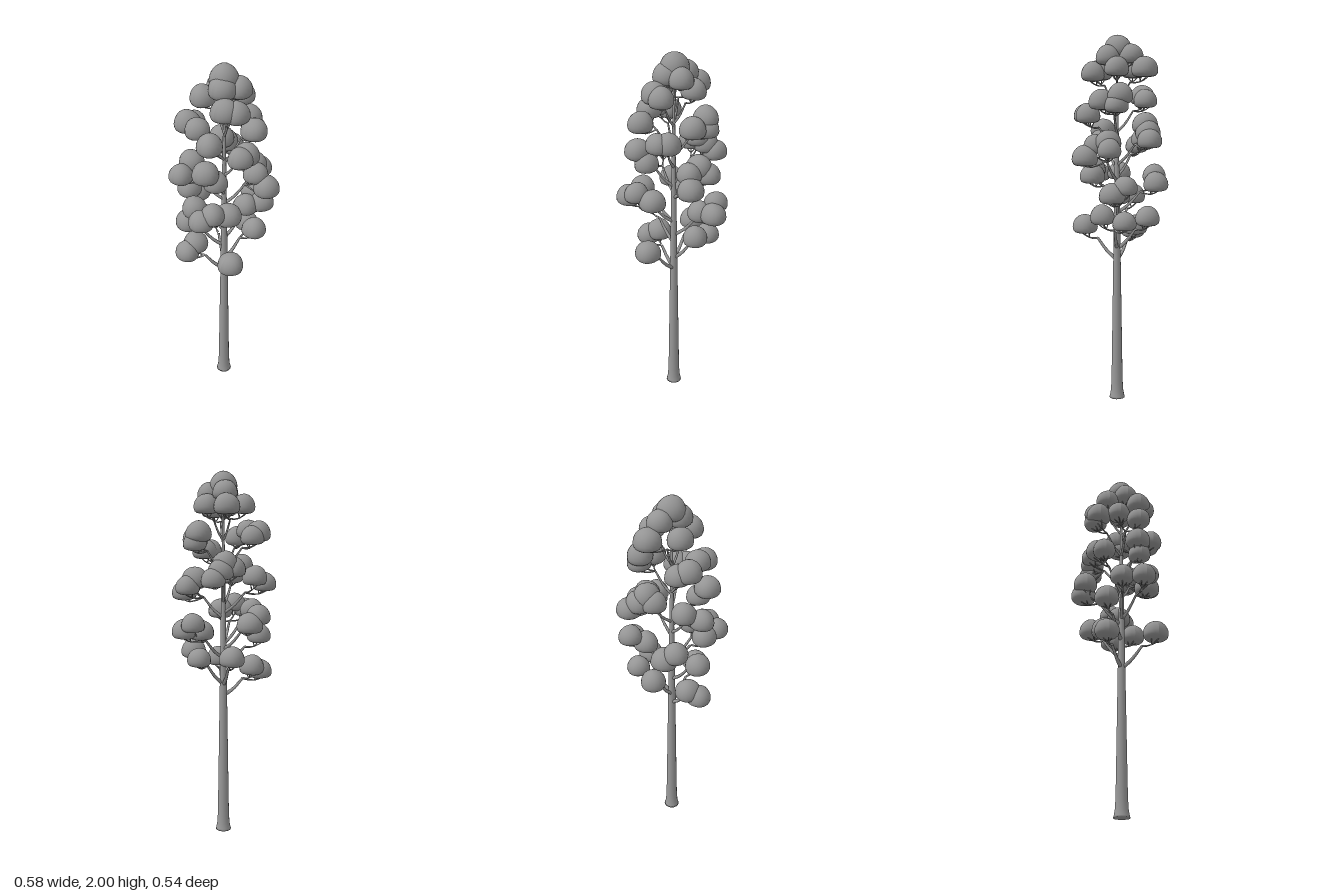
import * as THREE from 'three';
import { mergeGeometries } from 'three/addons/utils/BufferGeometryUtils.js';

const bark = new THREE.MeshStandardMaterial({ color: 0x999999 });
bark.name = 'bark grey';
const leaf = new THREE.MeshStandardMaterial({ color: 0x959595 });
leaf.name = 'foliage grey';

const AXIS = new THREE.Vector3(-0.003, 0, 0.015);
const HEIGHT = 1.9;

// One row per limb, lowest first: the centres of the leaf clumps it carries
const LIMBS = [
  [[-0.17, 0.94, -0.1], [-0.11, 0.97, -0.1]],
  [[-0.11, 0.98, 0.18]],
  [[0.18, 1.03, 0], [0.13, 1.06, 0.11]],
  [[0.07, 1.04, -0.14]],
  [[-0.16, 1.14, -0.1]],
  [[0.22, 1.22, 0], [0.22, 1.18, 0.07], [0.14, 1.17, 0.03]],
  [[0, 1.22, -0.2], [-0.06, 1.26, -0.2]],
  [[-0.23, 1.26, 0.09], [-0.18, 1.29, 0.12], [-0.09, 1.26, 0.14]],
  [[-0.18, 1.27, -0.02]],
  [[0.12, 1.37, 0.2], [0.1, 1.43, 0.14], [0.19, 1.41, 0.08], [0.14, 1.45, 0.08]],
  [[-0.18, 1.42, -0.12], [-0.09, 1.46, -0.14]],
  [[0.14, 1.5, -0.13], [0.1, 1.54, -0.12], [0.19, 1.46, -0.13], [0.06, 1.51, -0.14]],
  [[-0.18, 1.51, 0.07], [-0.13, 1.45, 0.09]],
  [[-0.05, 1.59, 0.18], [0, 1.59, 0.17]],
  [[0.16, 1.69, 0.02], [0.11, 1.66, 0.11], [0.17, 1.64, 0.04]],
  [[-0.16, 1.66, 0.08], [-0.14, 1.7, -0.03]],
  [[-0.06, 1.67, -0.15], [-0.11, 1.69, -0.14]],
  [[-0.08, 1.82, 0.1], [-0.04, 1.81, 0.14]],
  [[0.1, 1.83, 0.03]],
  [[-0.06, 1.83, -0.08], [0.09, 1.83, -0.12]],
  [[0, 1.94, 0.01], [0.045, 1.9, -0.055], [0.045, 1.89, 0.07], [-0.035, 1.9, 0.035]],
];

// Tube along a curve, thinning from r0 to r1
function taperedTube(points, r0, r1, segments, sides) {
  const curve = new THREE.CatmullRomCurve3(points);
  const geo = new THREE.TubeGeometry(curve, segments, 1, sides, false);
  const pos = geo.attributes.position;
  const v = new THREE.Vector3();
  for (let i = 0; i < pos.count; i++) {
    const t = Math.floor(i / (sides + 1)) / segments;
    const c = curve.getPointAt(t);
    v.fromBufferAttribute(pos, i).sub(c).multiplyScalar(THREE.MathUtils.lerp(r0, r1, t)).add(c);
    pos.setXYZ(i, v.x, v.y, v.z);
  }
  return geo;
}

// Domed clump: full rounded top, flattened underside, slight lumps
function clumpGeometry(r, seed) {
  const geo = new THREE.SphereGeometry(1, 20, 14);
  const pos = geo.attributes.position;
  for (let i = 0; i < pos.count; i++) {
    const x = pos.getX(i), y = pos.getY(i), z = pos.getZ(i);
    const lump = r * (1 + 0.035 * Math.sin(3 * x + seed) * Math.cos(3 * z + 2 * seed));
    pos.setXYZ(i, x * lump, lump * (y > 0 ? y * 1.05 : 0.6 * Math.tanh(1.5 * y)), z * lump);
  }
  geo.computeVertexNormals();
  return geo;
}

// Tall trunk: even taper plus a flare at the foot
function trunkGeometry() {
  const profile = [new THREE.Vector2(0, 0)];
  for (let i = 0; i <= 14; i++) {
    const y = HEIGHT * (i / 14) ** 2;
    profile.push(new THREE.Vector2(0.033 - 0.0155 * y + 0.011 * Math.exp(-y / 0.03), y));
  }
  return new THREE.LatheGeometry(profile, 14);
}

export function createModel() {
  const tree = new THREE.Group();
  tree.name = 'tree';
  const add = (name, geo, mat, parent) => {
    const mesh = new THREE.Mesh(geo, mat);
    mesh.name = name;
    parent.add(mesh);
    return mesh;
  };

  add('trunk', trunkGeometry(), bark, tree).position.copy(AXIS);

  LIMBS.forEach((row, n) => {
    const limb = new THREE.Group();
    limb.name = 'limb' + (n + 1);
    tree.add(limb);

    // Main limb rises from the trunk to a fork below its clumps
    const clumps = row.map((p) => new THREE.Vector3(...p));
    const mean = new THREE.Vector3();
    clumps.forEach((c) => mean.addScaledVector(c, 1 / clumps.length));
    const start = AXIS.clone().setY(Math.max(0.79, mean.y - 0.19));
    const fork = start.clone().lerp(mean, 0.6);
    const bend = start.clone().lerp(fork, 0.5);
    bend.y -= 0.012;
    const thick = 0.0155 - 0.0052 * start.y;
    const wood = [taperedTube([start, bend, fork], thick, thick * 0.6, 8, 7)];

    clumps.forEach((c, k) => {
      // The crown clump at the very top is the widest
      const r = c.y > 1.92 ? 0.074 : 0.066 + 0.003 * Math.sin(n * 2.3 + k * 1.9);
      add('leafClump', clumpGeometry(r, n * 1.7 + k), leaf, limb).position.set(c.x, c.y - r * 0.25, c.z);

      // Branch to the clump, then a fan of twigs into its underside
      const hub = c.clone().setY(c.y - r * 1.1).lerp(fork, 0.3);
      const mid = fork.clone().lerp(hub, 0.5);
      mid.y -= 0.004;
      wood.push(taperedTube([fork, mid, hub], thick * 0.6, 0.0035, 4, 6));
      for (let i = 0; i < 4; i++) {
        const a = n + k + i * Math.PI / 2;
        const tip = new THREE.Vector3(Math.cos(a) * 0.5, -0.6, Math.sin(a) * 0.5).multiplyScalar(r).add(c);
        const knee = hub.clone().lerp(tip, 0.5);
        knee.y -= 0.004;
        wood.push(taperedTube([hub, knee, tip], 0.0035, 0.002, 3, 5));
      }
    });
    add('branches', mergeGeometries(wood), bark, limb);
  });
  return tree;
}
